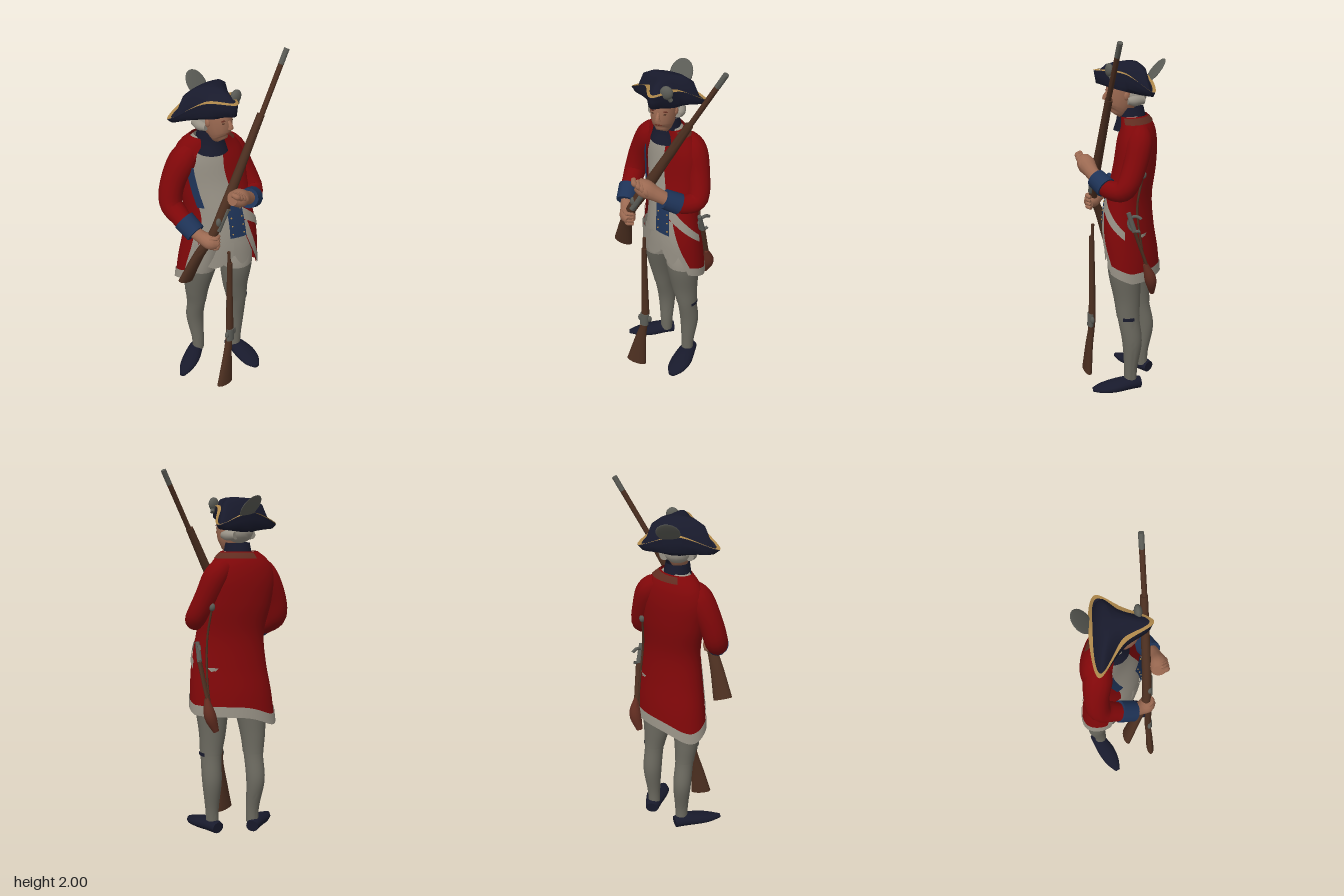
import * as THREE from 'three';
import { toCreasedNormals } from 'three/addons/utils/BufferGeometryUtils.js';

const make = (name, color) => new THREE.MeshStandardMaterial({ name, color, side: THREE.DoubleSide });
const M = {
  red: make('scarlet cloth', 0x800709), white: make('off-white cloth', 0x989286),
  gaiter: make('grey linen', 0x6b695f), navy: make('navy felt', 0x181a2c),
  blue: make('blue cloth', 0x1e3357), skin: make('skin', 0x9c6a52),
  wood: make('walnut', 0x4c2f20), gold: make('gold braid', 0xab8549),
  steel: make('steel', 0x5a5b55), leather: make('leather', 0x602c20),
};
const RAD = Math.PI / 180;

export function createModel() {
  const model = new THREE.Group();
  const add = (name, mat, geo, parent = model) => {
    const mesh = new THREE.Mesh(geo, mat);
    mesh.name = name;
    parent.add(mesh);
    return mesh;
  };
  const group = (name) => {
    const g = new THREE.Group();
    g.name = name;
    model.add(g);
    return g;
  };

  // Smooth table lookup: the keys ascend, each row is a list of values
  const table = (keys, rows) => {
    const it = new THREE.CubicInterpolant(keys, rows.flat(), rows[0].length);
    return (t) => Array.from(it.evaluate(t));
  };
  // Surface from a rule f(u, v) -> [x, y, z]
  const surface = (nu, nv, f) => {
    const pos = [], idx = [];
    for (let j = 0; j <= nv; j++) for (let i = 0; i <= nu; i++) pos.push(...f(i / nu, j / nv));
    for (let j = 0; j < nv; j++) for (let i = 0; i < nu; i++) {
      const a = j * (nu + 1) + i, b = a + nu + 1;
      idx.push(a, a + 1, b, a + 1, b + 1, b);
    }
    const g = new THREE.BufferGeometry();
    g.setAttribute('position', new THREE.Float32BufferAttribute(pos, 3));
    g.setIndex(idx);
    return toCreasedNormals(g, 1.1);
  };
  // Horizontal elliptical sections [y, cx, cz, rx, rz]; angle 0 is the front, 90 the model's left.
  // The twist brings the left side forward.
  const sections = (rows, twist = 0) => {
    const at = table(rows.map((r) => r[0]), rows.map((r) => r.slice(1)));
    return (y, deg, off = 0) => {
      const [cx, cz, rx, rz] = at(y), dx = (rx + off) * Math.sin(deg * RAD);
      return [cx + dx, y, cz + (rz + off) * Math.cos(deg * RAD) + twist * dx];
    };
  };
  const loft = (name, mat, p, y0, y1, off = 0, parent = model) =>
    add(name, mat, surface(24, 18, (u, v) => p(y1 + (y0 - y1) * v, u * 360, off)), parent);
  // Capped sweep through rows [x, y, z, ra, rb]
  const sweep = (name, mat, rows, parent = model, ref = new THREE.Vector3(0, 0, 1), sides = 14) => {
    const n = rows.length - 1, at = table(rows.map((_, i) => i), rows);
    const steps = n * 5;
    add(name, mat, surface(sides, steps + 2, (u, v) => {
      const j = Math.round(v * (steps + 2)) - 1;
      const t = THREE.MathUtils.clamp(j / steps, 0, 1) * n;
      const cap = j < 0 || j > steps ? 0 : 1;
      const c = at(t), a = at(Math.max(0, t - 0.02)), b = at(Math.min(n, t + 0.02));
      const tan = new THREE.Vector3(b[0] - a[0], b[1] - a[1], b[2] - a[2]).normalize();
      const s = tan.clone().cross(ref).normalize(), w = s.clone().cross(tan).normalize();
      const p = new THREE.Vector3(c[0], c[1], c[2])
        .addScaledVector(s, cap * c[3] * Math.cos(u * 2 * Math.PI))
        .addScaledVector(w, cap * (c[4] ?? c[3]) * Math.sin(u * 2 * Math.PI));
      return p.toArray();
    }), parent);
  };
  const ball = (name, mat, x, y, z, rx, ry, rz, parent = model) => {
    const m = add(name, mat, new THREE.SphereGeometry(1, 16, 12), parent);
    m.position.set(x, y, z);
    m.scale.set(rx, ry, rz);
    return m;
  };

  // Torso and coat
  const body = sections([
    [0.6, 0.0, -0.055, 0.203, 0.162], [0.8, 0.005, -0.04, 0.192, 0.158], [0.95, 0.005, -0.025, 0.176, 0.148],
    [1.12, 0, -0.03, 0.158, 0.132], [1.3, -0.01, -0.068, 0.168, 0.122], [1.45, -0.02, -0.085, 0.165, 0.11],
    [1.53, -0.025, -0.085, 0.125, 0.088], [1.58, -0.03, -0.065, 0.068, 0.07]], 0.38);
  loft('waistcoat', M.white, body, 0.85, 1.57, -0.012);
  const edges = table([0, 0.2, 0.4, 0.6, 0.8, 1],
    [[8, 32], [-2, 56], [2, 60], [6, 62], [20, 68], [45, 75]]);
  const hem = (d) => 0.69 + 0.07 * Math.max(0, Math.cos(d * RAD)) - 0.065 * Math.exp(-(((d - 220) / 35) ** 2));
  const coatPoint = (u, v, off) => {
    const [a, b] = edges(v), d = a + (360 - a - b) * u;
    return body(1.57 + (hem(d) - 1.57) * v, d, off);
  };
  const coat = group('coat');
  add('coatCloth', M.red, surface(60, 30, (u, v) => coatPoint(u, v, 0.005)), coat);
  add('hemLining', M.white, surface(60, 3, (u, v) => coatPoint(u, 0.94 + 0.065 * v, 0.01)), coat);
  add('leftTurnback', M.white, surface(4, 16, (u, v) => coatPoint(u * 0.045, 0.6 + 0.39 * v, 0.01)), coat);
  add('rightTurnback', M.white, surface(3, 14, (u, v) => coatPoint(1 - u * 0.04, 0.6 + 0.39 * v, 0.01)), coat);
  const patch = (name, mat, d0, d1, y0, y1, off) =>
    add(name, mat, surface(10, 6, (u, v) => body(y0 + (y1 - y0) * v, d0 + (d1 - d0) * u, off)), coat);
  patch('leftLapel', M.blue, -16, 12, 0.99, 1.19, 0.013);
  patch('rightLapel', M.blue, -63, -50, 1.18, 1.42, 0.01);
  patch('collarBand', M.leather, 45, 190, 1.535, 1.565, 0.008);
  for (let i = 0; i < 4; i++) for (const d of [-11, 8])
    ball('button', M.gold, ...body(1.015 + i * 0.05, d, 0.014), 0.005, 0.005, 0.004, coat);
  // Sword belt slanting from the waist to the left hip
  add('swordBelt', M.white, surface(14, 3, (u, v) =>
    body(1.17 - 0.19 * u - (0.075 - 0.03 * u) * v, 11 + 72 * u, 0.011)), coat);
  // Waistcoat skirts
  for (const [d0, d1] of [[-62, -8], [-4, 28]])
    add('waistcoatFlap', M.white, surface(6, 5, (u, v) =>
      body(0.95 - (0.1 + 0.07 * Math.sin(u * Math.PI)) * v, d0 + (d1 - d0) * u, -0.004)));

  // Legs and shoes
  const legs = {
    left: [[0.05, 0.11, 0, 0.035, 0.036], [0.12, 0.112, 0, 0.037, 0.037], [0.3, 0.118, -0.006, 0.054, 0.056],
      [0.45, 0.107, 0.012, 0.056, 0.062], [0.55, 0.094, 0.015, 0.07, 0.07], [0.75, 0.085, 0.025, 0.092, 0.093], [0.95, 0.08, 0, 0.09, 0.1]],
    right: [[0.05, -0.07, -0.14, 0.035, 0.035], [0.12, -0.07, -0.14, 0.037, 0.036], [0.3, -0.075, -0.158, 0.051, 0.053],
      [0.45, -0.085, -0.13, 0.052, 0.058], [0.55, -0.092, -0.118, 0.063, 0.07], [0.75, -0.092, -0.085, 0.086, 0.098], [0.95, -0.08, -0.04, 0.09, 0.1]],
  };
  for (const side of ['left', 'right']) {
    const g = group(side + 'Leg'), p = sections(legs[side]);
    loft('stocking', M.gaiter, p, 0.05, 0.46, 0, g);
    loft('breeches', M.gaiter, p, 0.45, 0.74, 0.003, g);
    loft('breechesTop', M.white, p, 0.74, 0.95, 0.003, g);
  }
  add('garterBuckle', M.navy, surface(5, 2, (u, v) => sections(legs.left)(0.445 + 0.02 * v, 45 + 55 * u, 0.007)));
  const up = new THREE.Vector3(0, 1, 0);
  sweep('leftShoe', M.navy, [[0.118, 0.035, -0.055, 0.038, 0.032], [0.114, 0.04, 0.01, 0.05, 0.036],
    [0.105, 0.032, 0.1, 0.062, 0.031], [0.09, 0.023, 0.17, 0.05, 0.021], [0.08, 0.016, 0.218, 0.018, 0.011]], model, up);
  sweep('rightShoe', M.navy, [[-0.035, 0.035, -0.172, 0.035, 0.032], [-0.09, 0.04, -0.145, 0.045, 0.036],
    [-0.16, 0.032, -0.11, 0.052, 0.031], [-0.23, 0.023, -0.08, 0.042, 0.021], [-0.29, 0.016, -0.055, 0.015, 0.011]], model, up);

  // Arms, cuffs and hands
  sweep('leftSleeve', M.red, [[0.06, 1.5, -0.07, 0.05], [0.115, 1.445, -0.045, 0.07], [0.153, 1.33, -0.005, 0.064],
    [0.172, 1.215, 0.055, 0.059], [0.12, 1.2, 0.115, 0.052], [0.05, 1.235, 0.16, 0.045]]);
  sweep('leftCuff', M.blue, [[0.095, 1.21, 0.135, 0.058], [0.025, 1.25, 0.17, 0.054]]);
  sweep('leftHand', M.skin, [[0.03, 1.25, 0.168, 0.035], [-0.02, 1.28, 0.182, 0.04], [-0.07, 1.305, 0.19, 0.05], [-0.115, 1.32, 0.185, 0.038]]);
  sweep('rightSleeve', M.red, [[-0.1, 1.5, -0.11, 0.05], [-0.155, 1.44, -0.133, 0.075], [-0.217, 1.32, -0.152, 0.067],
    [-0.248, 1.21, -0.14, 0.063], [-0.25, 1.155, -0.07, 0.054], [-0.25, 1.12, 0, 0.047]]);
  sweep('rightCuff', M.blue, [[-0.25, 1.145, -0.04, 0.06], [-0.242, 1.095, 0.04, 0.056]]);
  sweep('rightHand', M.skin, [[-0.242, 1.1, 0.03, 0.034], [-0.225, 1.075, 0.075, 0.036], [-0.205, 1.06, 0.115, 0.045], [-0.18, 1.05, 0.145, 0.03]]);
  for (let i = 0; i < 4; i++) {
    const k = i * 0.021;
    sweep('leftFinger', M.skin, [[-0.04 - k, 1.27 + k, 0.205, 0.014], [-0.055 - k, 1.31 + k * 0.6, 0.226, 0.016], [-0.07 - k, 1.34 + k * 0.3, 0.2, 0.013]], model, up, 8);
    sweep('rightFinger', M.skin, [[-0.225 + k * 0.2, 1.09 - k, 0.125, 0.011], [-0.195, 1.09 - k, 0.148, 0.012], [-0.165, 1.085 - k, 0.135, 0.01]], model, up, 8);
  }

  // Head, wig and neck stock
  const head = group('head');
  loft('collar', M.navy, sections([[1.49, -0.032, -0.045, 0.088, 0.088], [1.55, -0.032, -0.055, 0.074, 0.08],
    [1.62, -0.034, -0.052, 0.062, 0.07]]), 1.49, 1.615, 0, head);
  sweep('face', M.skin, [[-0.035, 1.575, 0.035, 0.028, 0.032], [-0.035, 1.6, 0.018, 0.05, 0.066], [-0.035, 1.65, 0.002, 0.064, 0.086],
    [-0.035, 1.72, -0.01, 0.068, 0.092], [-0.035, 1.76, -0.015, 0.055, 0.07]], head);
  sweep('nose', M.skin, [[-0.035, 1.7, 0.08, 0.009, 0.008], [-0.035, 1.675, 0.094, 0.012, 0.012], [-0.035, 1.66, 0.094, 0.016, 0.013]], head);
  ball('mouth', M.leather, -0.035, 1.63, 0.08, 0.02, 0.003, 0.006, head);
  for (const s of [-1, 1]) {
    ball('eye', M.wood, -0.035 + s * 0.029, 1.691, 0.072, 0.01, 0.004, 0.006, head);
    ball('eyebrow', M.leather, -0.035 + s * 0.03, 1.706, 0.073, 0.018, 0.003, 0.006, head);
    ball('ear', M.skin, -0.035 + s * 0.067, 1.68, -0.005, 0.009, 0.022, 0.015, head);
    sweep('wigCurl', M.white, [[-0.035 + s * 0.07, 1.655, -0.01, 0.018], [-0.035 + s * 0.072, 1.655, -0.05, 0.028], [-0.035 + s * 0.065, 1.655, -0.1, 0.022]], head, up);
  }
  ball('wig', M.white, -0.035, 1.675, -0.06, 0.077, 0.064, 0.08, head);

  // Three-cornered hat: base ring, flared brim, rim and domed crown
  const hat = group('hat');
  const rim = new THREE.CatmullRomCurve3([[-0.05, 1.812, 0.15], [0.05, 1.795, 0.012], [0.165, 1.71, -0.105],
    [-0.04, 1.772, -0.155], [-0.255, 1.71, -0.133], [-0.13, 1.795, 0.004]].map((p) => new THREE.Vector3(...p)), true);
  const crown = new THREE.Vector3(-0.03, 1.857, -0.04);
  add('hatFelt', M.navy, surface(60, 8, (u, v) => {
    const a = u * 2 * Math.PI, j = Math.round(v * 8);
    const z = -0.03 + 0.105 * Math.cos(a);
    const base = new THREE.Vector3(-0.035 + 0.08 * Math.sin(a), 1.705 + 0.27 * z, z), r = rim.getPoint(u % 1);
    const brim = base.clone().lerp(r, 0.85).setY(THREE.MathUtils.lerp(base.y, r.y, 0.25));
    const slope = (t, k) => r.clone().lerp(crown, t).setY(THREE.MathUtils.lerp(r.y, crown.y, k));
    return [base, base.clone().lerp(brim, 0.6), brim, brim.clone().lerp(r, 0.6), r,
      slope(0.15, 0), slope(0.35, 0.72), slope(0.6, 0.95), crown][j].toArray();
  }), hat);
  // Braid lies just inside the rim
  add('hatBraid', M.gold, surface(80, 2, (u, v) => {
    const r = rim.getPoint(u % 1), inward = crown.clone().sub(r).setY(0).normalize();
    return r.addScaledVector(inward, 0.022 * v - 0.002).add(new THREE.Vector3(0, 0.004 + 0.004 * v, 0)).toArray();
  }), hat);
  const plume = ball('plume', M.steel, 0, 1.805, -0.182, 0.062, 0.078, 0.006, hat);
  plume.rotation.x = -0.7;
  ball('cockade', M.steel, 0.01, 1.82, 0.085, 0.034, 0.036, 0.02, hat);
  sweep('cockadeLoop', M.steel, [[0.01, 1.815, 0.092, 0.01], [0.03, 1.775, 0.075, 0.012]], hat);

  // Held musket
  const musket = group('heldMusket');
  sweep('stock', M.wood, [[0.145, 1.69, 0.135, 0.021, 0.02], [0, 1.43, 0.13, 0.026, 0.023], [-0.11, 1.235, 0.125, 0.031, 0.025],
    [-0.19, 1.09, 0.113, 0.027, 0.024], [-0.238, 0.965, 0.06, 0.036, 0.024], [-0.285, 0.785, 0, 0.054, 0.024]], musket);
  sweep('barrel', M.wood, [[0.09, 1.59, 0.138, 0.014], [0.3, 1.955, 0.139, 0.014]], musket);
  sweep('muzzle', M.steel, [[0.28, 1.92, 0.139, 0.0145], [0.322, 1.993, 0.139, 0.0145]], musket);
  sweep('lockPlate', M.steel, [[-0.105, 1.235, 0.14, 0.016], [-0.17, 1.12, 0.132, 0.018]], musket);
  ball('hammer', M.steel, -0.165, 1.17, 0.135, 0.016, 0.026, 0.014, musket);

  // Grounded musket
  const spare = group('groundedMusket');
  sweep('stock', M.wood, [[-0.1, 0.88, 0.155, 0.014, 0.014], [-0.1, 0.6, 0.156, 0.019, 0.018], [-0.1, 0.4, 0.158, 0.024, 0.02],
    [-0.11, 0.31, 0.16, 0.022, 0.019], [-0.132, 0.19, 0.168, 0.036, 0.02], [-0.157, 0.02, 0.175, 0.06, 0.023]], spare);
  sweep('barrel', M.wood, [[-0.1, 0.95, 0.148, 0.009], [-0.1, 0.6, 0.162, 0.011]], spare);
  sweep('lockPlate', M.steel, [[-0.1, 0.41, 0.165, 0.027, 0.018], [-0.105, 0.33, 0.168, 0.027, 0.018]], spare);
  for (const s of [-1, 1]) ball('lockScrew', M.steel, -0.1 + s * 0.028, 0.375, 0.165, 0.014, 0.022, 0.012, spare);

  // Sword hilt, scabbard, cord and pouch at the left hip
  const kit = group('hipGear');
  const guard = add('swordGuard', M.steel, new THREE.TorusGeometry(0.042, 0.009, 8, 20, 4.4), kit);
  guard.position.set(0.2, 1.025, 0.005);
  guard.rotation.set(0, 0.9, 0.8);
  sweep('swordGrip', M.steel, [[0.18, 1.085, 0.04, 0.012], [0.192, 0.98, 0.01, 0.014]], kit);
  sweep('scabbard', M.wood, [[0.192, 0.98, 0.01, 0.015, 0.009], [0.2, 0.72, -0.08, 0.012, 0.008]], kit);
  const cord = [[1.28, 112], [1.1, 110], [0.9, 116], [0.74, 120]].map(([y, d]) => [...body(y, d, 0.011), 0.006]);
  sweep('cord', M.wood, cord, kit, undefined, 6);
  ball('cordButton', M.steel, ...body(1.28, 112, 0.012), 0.016, 0.022, 0.018, kit);
  sweep('pouch', M.leather, [[0.2, 0.79, -0.05, 0.01, 0.014], [0.202, 0.7, -0.08, 0.034, 0.032], [0.175, 0.61, -0.1, 0.018, 0.014]], kit);

  return model;
}
